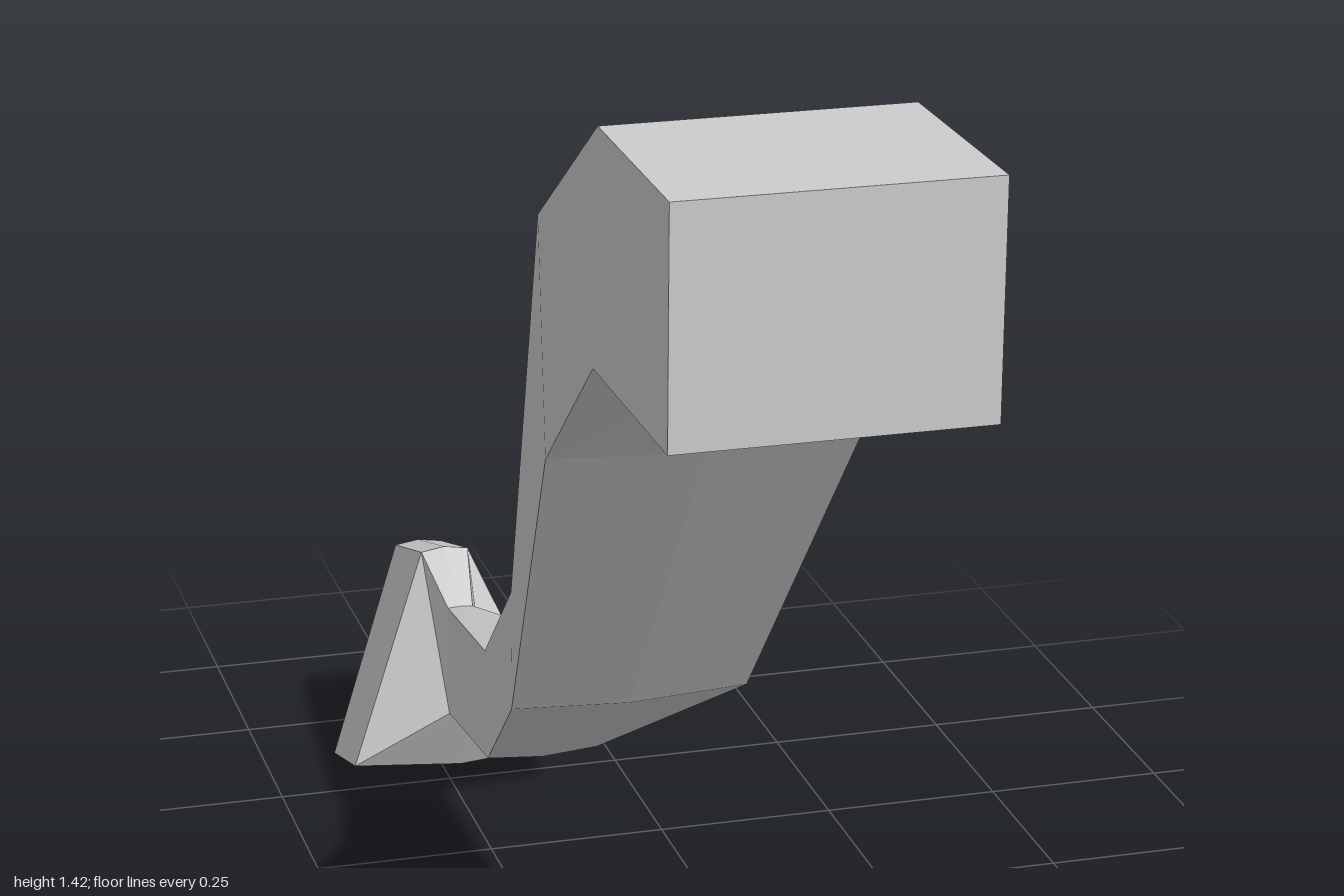
import * as THREE from 'three';

// Each section: [top z, top y, top half width, bottom z, bottom y, bottom half width, crease depth]
const ARM = [
  [1.0, 1.42, 0.18, 1.0, 1.15, 0.18, 0],
  [0.72, 1.42, 0.178, 0.72, 1.15, 0.183, 0],
  [0.45, 1.241, 0.174, 0.535, 0.98, 0.188, 0.01],
  [0.18, 0.675, 0.14, 0.22, 0.538, 0.15, 0.008],
  [-0.26, 0.412, 0.066, -0.21, 0.278, 0.075, 0.006],
  [-0.675, 0.304, 0.018, -0.63, 0.161, 0.028, 0.003],
];
const FOOT = [
  ARM[ARM.length - 1],
  [-0.77, 0.355, 0.034, -0.68, 0.072, 0.156, 0.014],
  [-0.94, 0.302, 0.034, -0.855, 0.017, 0.15, 0.013],
  [-1.0, 0.22, 0.03, -0.943, 0.04, 0.112, 0.008],
];

// Six-cornered ring with a shallow ridge above and a shallow keel below
function ring([tz, ty, tw, bz, by, bw, crease]) {
  return [
    [tw, ty, tz], [0, ty + crease * 0.4, tz], [-tw, ty, tz],
    [-bw, by, bz], [0, by - crease, bz], [bw, by, bz],
  ];
}

// Skin a run of sections, with optional caps at either end
function loft(sections, capFront, capBack) {
  const rings = sections.map(ring);
  const positions = [];
  const tri = (a, b, c) => positions.push(...a, ...b, ...c);
  const quad = (a, b, c, d) => { tri(a, b, c); tri(a, c, d); };
  for (let s = 0; s < rings.length - 1; s++) {
    const a = rings[s], b = rings[s + 1];
    for (let i = 0; i < 6; i++) {
      const j = (i + 1) % 6;
      // mirror the diagonals so both halves match
      if (i === 0 || i === 4 || i === 5) quad(a[i], b[i], b[j], a[j]);
      else quad(b[i], b[j], a[j], a[i]);
    }
  }
  const cap = (r, flip) => {
    for (let i = 1; i < 5; i++) {
      if (flip) tri(r[0], r[i + 1], r[i]);
      else tri(r[0], r[i], r[i + 1]);
    }
  };
  if (capFront) cap(rings[0], false);
  if (capBack) cap(rings[rings.length - 1], true);
  const geometry = new THREE.BufferGeometry();
  geometry.setAttribute('position', new THREE.Float32BufferAttribute(positions, 3));
  geometry.computeVertexNormals();
  return geometry;
}

export function createModel() {
  const model = new THREE.Group();
  model.name = 'curvedLeg';
  const grey = new THREE.MeshStandardMaterial({ color: 0xcccccc, flatShading: true });
  grey.name = 'lightGrey';

  // Curved tapering leg with a square mounting end
  const arm = new THREE.Mesh(loft(ARM, true, false), grey);
  arm.name = 'leg';

  // Flared foot growing out of the thin end of the leg
  const foot = new THREE.Mesh(loft(FOOT, false, true), grey);
  foot.name = 'foot';

  model.add(arm, foot);
  return model;
}
